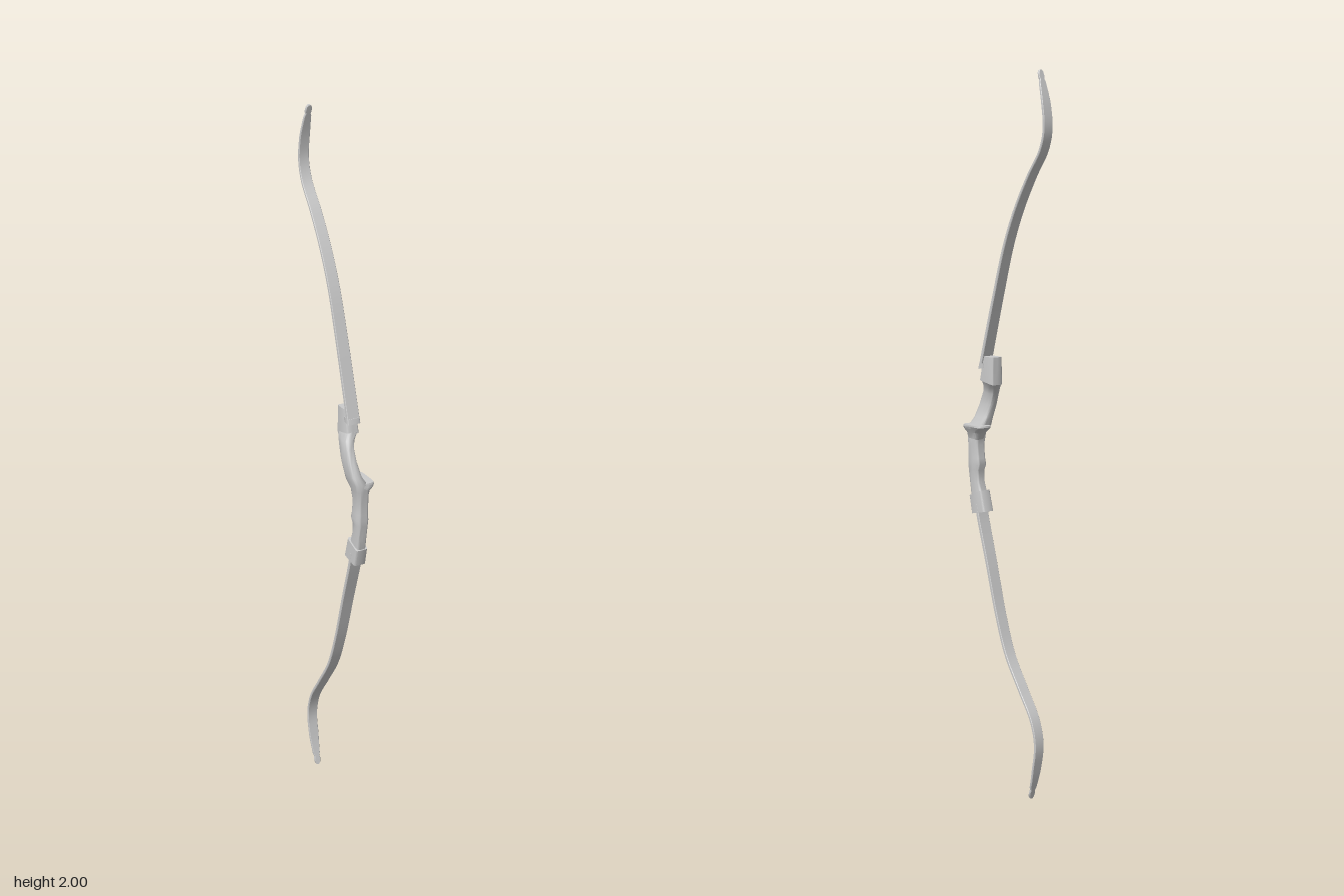
import * as THREE from 'three';
import { toCreasedNormals } from 'three/addons/utils/BufferGeometryUtils.js';

const material = new THREE.MeshStandardMaterial({ color: 0xcccccc });

// Skins a list of rings (counter-clockwise seen from the far end) and caps both ends
function loft(name, rings, crease = 0.6) {
  const n = rings[0].length, pos = [], idx = [];
  const center = r => r.reduce((s, p) => s.add(p), new THREE.Vector3()).divideScalar(n);
  rings.forEach(r => r.forEach(p => pos.push(p.x, p.y, p.z)));
  const last = rings.length - 1, c0 = rings.length * n;
  [center(rings[0]), center(rings[last])].forEach(p => pos.push(p.x, p.y, p.z));
  for (let j = 0; j < n; j++) {
    const k = (j + 1) % n;
    for (let i = 0; i < last; i++) {
      const a = i * n + j, b = i * n + k;
      idx.push(a, b, b + n, a, b + n, a + n);
    }
    idx.push(c0, k, j, c0 + 1, last * n + j, last * n + k);
  }
  const g = new THREE.BufferGeometry();
  g.setAttribute('position', new THREE.Float32BufferAttribute(pos, 3));
  g.setIndex(idx);
  const mesh = new THREE.Mesh(toCreasedNormals(g, crease), material);
  mesh.name = name;
  return mesh;
}

// Rounded section given front (y, z), back (y, z), right and left x, and roundness exponent
function section([yf, zf, yb, zb, x0, x1, e]) {
  const ring = [], n = 24;
  for (let j = 0; j < n; j++) {
    const a = (j / n) * Math.PI * 2;
    const c = Math.sign(Math.cos(a)) * Math.abs(Math.cos(a)) ** (2 / e);
    const s = Math.sign(Math.sin(a)) * Math.abs(Math.sin(a)) ** (2 / e);
    const t = (1 - c) / 2;
    ring.push(new THREE.Vector3((x0 + x1) / 2 + s * (x1 - x0) / 2,
      yf + (yb - yf) * t, zf + (zb - zf) * t));
  }
  return ring;
}

// Half width of a limb by distance from its tip, with the string nock cut in
const widths = [[0, 0.004], [0.006, 0.008], [0.018, 0.0095], [0.026, 0.0075], [0.034, 0.0105],
  [0.09, 0.0145], [0.3, 0.016], [0.9, 0.0185], [2, 0.0185]];
function halfWidth(d) {
  const i = Math.max(1, widths.findIndex(w => w[0] >= d));
  const [a, b] = [widths[i - 1], widths[i]];
  return THREE.MathUtils.mapLinear(d, a[0], b[0], a[1], b[1]);
}

// Flat recurved limb swept along (z, y) points from the grip to the tip
function limb(name, points, xBase, xTip) {
  const curve = new THREE.CatmullRomCurve3(points.map(([z, y]) => new THREE.Vector3(0, y, z)));
  const length = curve.getLength(), rings = [];
  const stops = [];
  for (let i = 0; i < 60; i++) stops.push((i / 60) * (length - 0.04));
  [0.034, 0.026, 0.018, 0.006, 0].forEach(d => stops.push(length - d));
  for (const s of stops) {
    const u = s / length, p = curve.getPointAt(u), t = curve.getTangentAt(u);
    const side = new THREE.Vector3(1, 0, 0), up = t.clone().cross(side);
    const w = halfWidth(length - s), h = 0.0055 - 0.0018 * u, b = 0.0015;
    p.x = xBase + (xTip - xBase) * u;
    rings.push([[w, -h + b], [w, h - b], [w - b, h], [b - w, h], [-w, h - b], [-w, b - h],
      [b - w, -h], [w - b, -h]].map(([x, y]) =>
      p.clone().addScaledVector(side, x).addScaledVector(up, y)));
  }
  return loft(name, rings);
}

export function createModel() {
  const bow = new THREE.Group();
  bow.name = 'recurveBow';

  // Limbs
  bow.add(limb('upperLimb', [[0.107, 1.185], [0.075, 1.295], [0.045, 1.395], [0.001, 1.53],
    [-0.045, 1.63], [-0.1, 1.72], [-0.148, 1.787], [-0.164, 1.84], [-0.159, 1.9], [-0.132, 1.998]],
  -0.003, -0.004));
  bow.add(limb('lowerLimb', [[0.122, 0.8], [0.112, 0.76], [0.075, 0.64], [0.03, 0.49], [-0.01, 0.39],
    [-0.07, 0.3], [-0.12, 0.225], [-0.137, 0.16], [-0.127, 0.09], [-0.103, 0.002]], 0, 0));

  // Riser: grip, then the sight window offset to the right side
  bow.add(loft('riser', [
    [0.815, 0.151, 0.835, 0.106, -0.014, 0.015, 4],
    [0.86, 0.158, 0.86, 0.116, -0.014, 0.015, 4],
    [0.895, 0.163, 0.893, 0.119, -0.015, 0.016, 4],
    [0.912, 0.164, 0.91, 0.112, -0.017, 0.018, 4],
    [0.93, 0.163, 0.928, 0.115, -0.015, 0.017, 4],
    [0.965, 0.164, 0.965, 0.12, -0.016, 0.017, 4],
    [1.0, 0.166, 1.0, 0.117, -0.021, 0.018, 4],
    [1.02, 0.167, 1.022, 0.1, -0.027, 0.012, 4],
    [1.04, 0.159, 1.045, 0.099, -0.032, 0.0, 4],
    [1.08, 0.142, 1.08, 0.087, -0.034, -0.007, 4],
    [1.115, 0.126, 1.11, 0.077, -0.033, -0.007, 4],
    [1.135, 0.117, 1.128, 0.066, -0.03, 0.0, 4],
    [1.155, 0.11, 1.142, 0.052, -0.023, 0.013, 5],
  ].map(section), 0.8));

  // Limb pockets
  bow.add(loft('upperPocket', [
    [1.15, 0.11, 1.14, 0.05, -0.022, 0.015, 8],
    [1.185, 0.101, 1.185, 0.05, -0.021, 0.015, 8],
    [1.217, 0.092, 1.217, 0.05, -0.02, 0.014, 8],
  ].map(section)));
  bow.add(loft('lowerPocket', [
    [0.77, 0.143, 0.782, 0.085, -0.018, 0.018, 8],
    [0.82, 0.154, 0.84, 0.102, -0.018, 0.018, 8],
  ].map(section)));

  // Collar where the upper limb seats on the riser
  bow.add(loft('limbCollar', [
    [1.18, 0.115, 1.184, 0.09, -0.022, 0.016, 8],
    [1.195, 0.111, 1.199, 0.086, -0.022, 0.016, 8],
  ].map(section)));

  // Arrow shelf flaring out to the left
  bow.add(loft('arrowShelf', [
    [0.975, 0.162, 0.975, 0.122, -0.012, 0.016, 4],
    [1.0, 0.165, 1.0, 0.108, -0.012, 0.021, 4],
    [1.011, 0.167, 1.011, 0.092, -0.012, 0.031, 5],
    [1.018, 0.167, 1.018, 0.083, -0.012, 0.034, 5],
    [1.023, 0.165, 1.023, 0.084, -0.012, 0.033, 5],
  ].map(section)));

  return bow;
}
